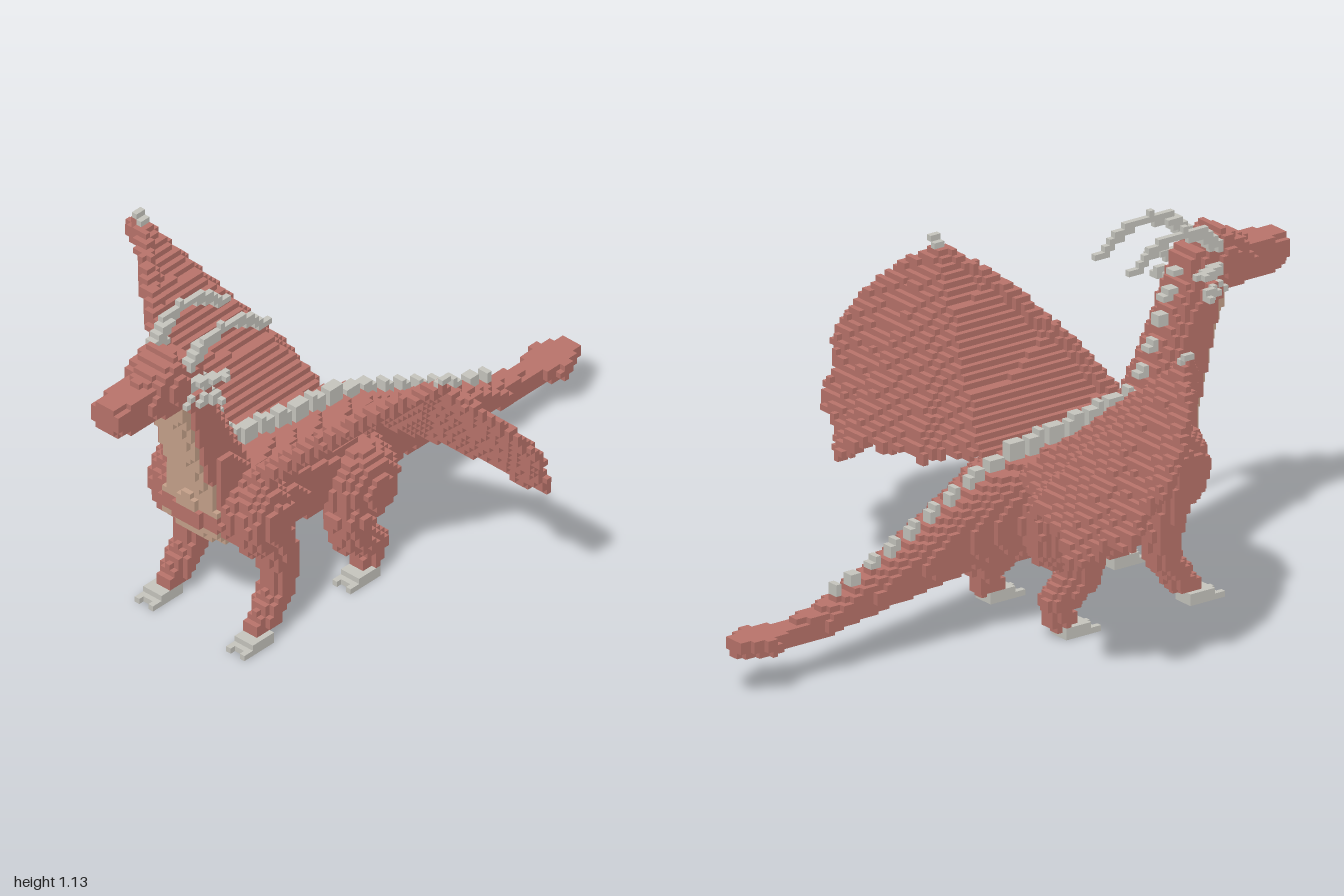
import * as THREE from 'three';

const S = 1 / 55; // cube size
const NX = 45, NY = 63, NZ = 55; // half width, height, half length in cubes

const mat = (name, color) => {
  const m = new THREE.MeshStandardMaterial({ color });
  m.name = name;
  return m;
};

// Linear lookup in rows sorted by their first value; null outside
function sample(rows, t) {
  for (let i = 0; i < rows.length - 1; i++) {
    const a = rows[i], b = rows[i + 1];
    if (t >= a[0] && t <= b[0]) {
      const k = (t - a[0]) / (b[0] - a[0]);
      return a.map((v, j) => v + (b[j] - v) * k);
    }
  }
  return null;
}

// Rows: position, high edge, low edge, half width
function inLoft(rows, t, x, w, power) {
  const r = sample(rows, t);
  if (!r) return false;
  const mid = (r[1] + r[2]) / 2, half = (r[1] - r[2]) / 2;
  return Math.abs((w - mid) / half) ** power + (x / r[3]) ** power <= 1;
}

const ellipsoid = (c, r) => (x, y, z) =>
  ((x - c[0]) / r[0]) ** 2 + ((y - c[1]) / r[1]) ** 2 + ((z - c[2]) / r[2]) ** 2 <= 1;

const box = (x0, x1, y0, y1, z0, z1) => (x, y, z) =>
  x > x0 && x < x1 && y > y0 && y < y1 && z > z0 && z < z1;

// Tapered limb through points [x, y, z, radius]
const limb = (pts) => (x, y, z) => {
  for (let i = 0; i < pts.length - 1; i++) {
    const a = pts[i], b = pts[i + 1];
    const d = [b[0] - a[0], b[1] - a[1], b[2] - a[2]];
    const len = d[0] ** 2 + d[1] ** 2 + d[2] ** 2;
    const dot = (x - a[0]) * d[0] + (y - a[1]) * d[1] + (z - a[2]) * d[2];
    const k = Math.min(1, Math.max(0, dot / len));
    const r = a[3] + (b[3] - a[3]) * k;
    const q = (x - a[0] - d[0] * k) ** 2 + (y - a[1] - d[1] * k) ** 2 + (z - a[2] - d[2] * k) ** 2;
    if (q <= r * r) return true;
  }
  return false;
};

// Thin skin: a fan of triangles from a hub through rim points
function fan(hub, rim, thick) {
  const tris = rim.slice(1).map((p, i) => {
    const t = new THREE.Triangle(...[hub, rim[i], p].map((v) => new THREE.Vector3(...v)));
    const b = new THREE.Box3().setFromPoints([t.a, t.b, t.c]).expandByScalar(thick);
    return { t, b };
  });
  const p = new THREE.Vector3(), q = new THREE.Vector3();
  return (x, y, z) => {
    p.set(x, y, z);
    return tris.some(({ t, b }) => b.containsPoint(p) &&
      t.closestPointToPoint(p, q).distanceTo(p) <= thick);
  };
}

const any = (...tests) => (x, y, z) => tests.some((f) => f(x, y, z));

const TORSO = [
  [-1, 0.19, 0.135, 0.03], [-0.9, 0.185, 0.125, 0.08], [-0.82, 0.185, 0.13, 0.04],
  [-0.7, 0.205, 0.122, 0.045], [-0.6, 0.24, 0.145, 0.055], [-0.4, 0.325, 0.18, 0.077],
  [-0.2, 0.43, 0.215, 0.1], [-0.08, 0.49, 0.215, 0.13], [0.05, 0.51, 0.22, 0.16],
  [0.2, 0.53, 0.25, 0.165], [0.35, 0.56, 0.265, 0.175], [0.5, 0.58, 0.29, 0.19],
  [0.6, 0.53, 0.34, 0.16], [0.64, 0.48, 0.38, 0.1],
];
const NECK = [
  [0.4, 0.65, 0.4, 0.14], [0.52, 0.645, 0.43, 0.12], [0.6, 0.67, 0.47, 0.105],
  [0.75, 0.715, 0.55, 0.092], [0.88, 0.765, 0.6, 0.085], [0.96, 0.78, 0.64, 0.08],
];
const HEAD = [
  [0.63, 1.0, 0.93, 0.045], [0.7, 1.035, 0.9, 0.078], [0.76, 1.07, 0.885, 0.085],
  [0.8, 1.05, 0.885, 0.082], [0.85, 1.01, 0.885, 0.065], [0.93, 1.005, 0.885, 0.058],
  [1.0, 0.995, 0.905, 0.045],
];

const torso = (x, y, z) => inLoft(TORSO, z, x, y, 2.5);
const neck = (x, y, z) => inLoft(NECK, y, x, z, 2.8);

// Back spikes: every second pair of slices
function spikes(x, y, z) {
  if (x > S) return false;
  if (z > -0.64 && z < 0.46) {
    const r = sample(TORSO, z);
    const on = ((Math.floor(z / S) % 4) + 4) % 4 < (z > -0.1 ? 3 : 2);
    if (on && y > r[1] - 0.03 && y < r[1] + (z > 0 ? 0.055 : 0.035)) return true;
  }
  const n = y > 0.6 && sample(NECK, y);
  return !!n && Math.floor(y / S) % 4 < 2 && z < n[2] + 0.03 && z > n[2] - 0.03;
}

// Wing outline on the left side; the right side mirrors it
const TIP = [0.595, 0.94, 0.205];
const ARM = [[0.13, 0.53, 0.5], [0.25, 0.65, 0.455], [0.42, 0.815, 0.34]];
const RIM = [
  ...ARM.slice().reverse(), [0.11, 0.5, 0.2], [0.11, 0.5, -0.01], [0.22, 0.48, -0.05], [0.27, 0.46, -0.1],
  [0.35, 0.47, -0.1], [0.41, 0.45, -0.13], [0.47, 0.47, -0.13], [0.5, 0.43, -0.17],
  [0.56, 0.4, -0.18], [0.61, 0.43, -0.14], [0.65, 0.48, -0.12], [0.73, 0.49, -0.1],
  [0.74, 0.54, -0.08], [0.73, 0.58, -0.05], [0.78, 0.65, -0.02], [0.775, 0.74, 0.04],
  [0.71, 0.84, 0.12],
];
const wing = any(
  fan(TIP, RIM, 0.0165),
  limb([...ARM, TIP].map((p, i) => [...p, 0.034 - i * 0.004])),
);

const foreLeg = any(
  ellipsoid([0.16, 0.42, 0.5], [0.078, 0.13, 0.1]),
  limb([[0.17, 0.36, 0.47, 0.066], [0.17, 0.24, 0.44, 0.055], [0.17, 0.16, 0.44, 0.048],
    [0.175, 0.08, 0.5, 0.042], [0.175, 0.05, 0.535, 0.034]]),
);
const hindLeg = any(
  ellipsoid([0.165, 0.33, 0.085], [0.088, 0.125, 0.13]),
  limb([[0.175, 0.25, 0.14, 0.075], [0.175, 0.18, 0.14, 0.058], [0.175, 0.11, 0.055, 0.05],
    [0.175, 0.06, 0.055, 0.038], [0.175, 0.045, 0.085, 0.032]]),
);
// Three toes with gaps at the front
const foot = (z0, z1) => any(
  box(0.14, 0.215, 0, 0.038, z0, z1 - 0.035),
  box(0.14, 0.16, 0, 0.02, z0, z1), box(0.195, 0.215, 0, 0.02, z0, z1),
  box(0.16, 0.195, 0, 0.02, z0, z1 - 0.015),
);

const horn = limb([[0.065, 1.03, 0.72, 0.021], [0.078, 1.08, 0.665, 0.019], [0.082, 1.103, 0.6, 0.017],
  [0.084, 1.098, 0.53, 0.016], [0.084, 1.065, 0.46, 0.014], [0.084, 1.02, 0.4, 0.013]]);
const cheekSpikes = any(
  limb([[0.07, 0.965, 0.72, 0.019], [0.1, 0.97, 0.67, 0.016], [0.125, 0.97, 0.62, 0.014]]),
  limb([[0.07, 0.9, 0.73, 0.019], [0.1, 0.905, 0.68, 0.016], [0.125, 0.905, 0.64, 0.014]]),
);

export function createModel() {
  const red = mat('red scales', 0xb8736a);
  const tan = mat('tan belly', 0xc4a089);
  const bone = mat('pale bone', 0xc5c4bd);

  // [name, material, test, has left and right copies]; earlier parts win a shared cube
  const parts = [
    ['foreClaws', bone, foot(0.51, 0.635), true],
    ['hindClaws', bone, foot(0.06, 0.175), true],
    ['foreLeg', red, foreLeg, true],
    ['hindLeg', red, hindLeg, true],
    ['head', red, (x, y, z) => inLoft(HEAD, z, x, y, 3.5), false],
    ['throat', tan, (x, y, z) => y > 0.46 && x < 0.075 + Math.max(0, 0.6 - y) * 0.2 &&
      z > sample(NECK, Math.min(y, 0.95))[1] - 0.055 && (neck(x, y, z) || torso(x, y, z)), false],
    ['belly', tan, (x, y, z) => y < 0.4 && x < 0.115 && z > 0.18 && torso(x, y, z), false],
    ['neck', red, neck, false],
    ['bodyAndTail', red, torso, false],
    ['backSpikes', bone, spikes, false],
    ['horn', bone, horn, true],
    ['cheekSpikes', bone, cheekSpikes, true],
    ['wingClaw', bone, any(box(0.58, 0.6, 0.945, 0.965, 0.19, 0.22),
      box(0.595, 0.62, 0.96, 0.99, 0.19, 0.22)), true],
    ['wing', red, wing, true],
  ];

  // Fill the left half of the grid; the right half is its mirror
  const cells = new Int8Array(NX * NY * NZ * 2).fill(-1);
  const at = (i, j, k) => {
    const m = i < 0 ? -1 - i : i;
    if (m >= NX || j < 0 || j >= NY || k < -NZ || k >= NZ) return -1;
    return cells[(m * NY + j) * NZ * 2 + k + NZ];
  };
  for (let i = 0; i < NX; i++) for (let j = 0; j < NY; j++) for (let k = -NZ; k < NZ; k++) {
    const x = (i + 0.5) * S, y = (j + 0.5) * S, z = (k + 0.5) * S;
    cells[(i * NY + j) * NZ * 2 + k + NZ] = parts.findIndex((p) => p[2](x, y, z));
  }

  // Outer faces of every cube, gathered per part and side
  const buffers = new Map();
  for (let i = -NX; i < NX; i++) for (let j = 0; j < NY; j++) for (let k = -NZ; k < NZ; k++) {
    const id = at(i, j, k);
    if (id < 0) continue;
    const [name, material, , paired] = parts[id];
    const key = paired ? (i < 0 ? 'right ' : 'left ') + name : name;
    if (!buffers.has(key)) buffers.set(key, { material, pos: [] });
    const { pos } = buffers.get(key);
    for (let a = 0; a < 3; a++) for (const side of [0, 1]) {
      const n = [i, j, k];
      n[a] += side ? 1 : -1;
      if (at(...n) >= 0) continue;
      const ring = [[0, 0], [1, 0], [1, 1], [0, 1]];
      if (!side) ring.reverse();
      for (const c of [0, 1, 2, 0, 2, 3]) {
        const p = [i, j, k];
        p[a] += side;
        p[(a + 1) % 3] += ring[c][0];
        p[(a + 2) % 3] += ring[c][1];
        pos.push(p[0] * S, p[1] * S, p[2] * S);
      }
    }
  }

  const model = new THREE.Group();
  model.name = 'dragon';
  for (const [name, { material, pos }] of buffers) {
    const geometry = new THREE.BufferGeometry();
    geometry.setAttribute('position', new THREE.Float32BufferAttribute(pos, 3));
    geometry.computeVertexNormals();
    const mesh = new THREE.Mesh(geometry, material);
    mesh.name = name;
    model.add(mesh);
  }
  return model;
}
